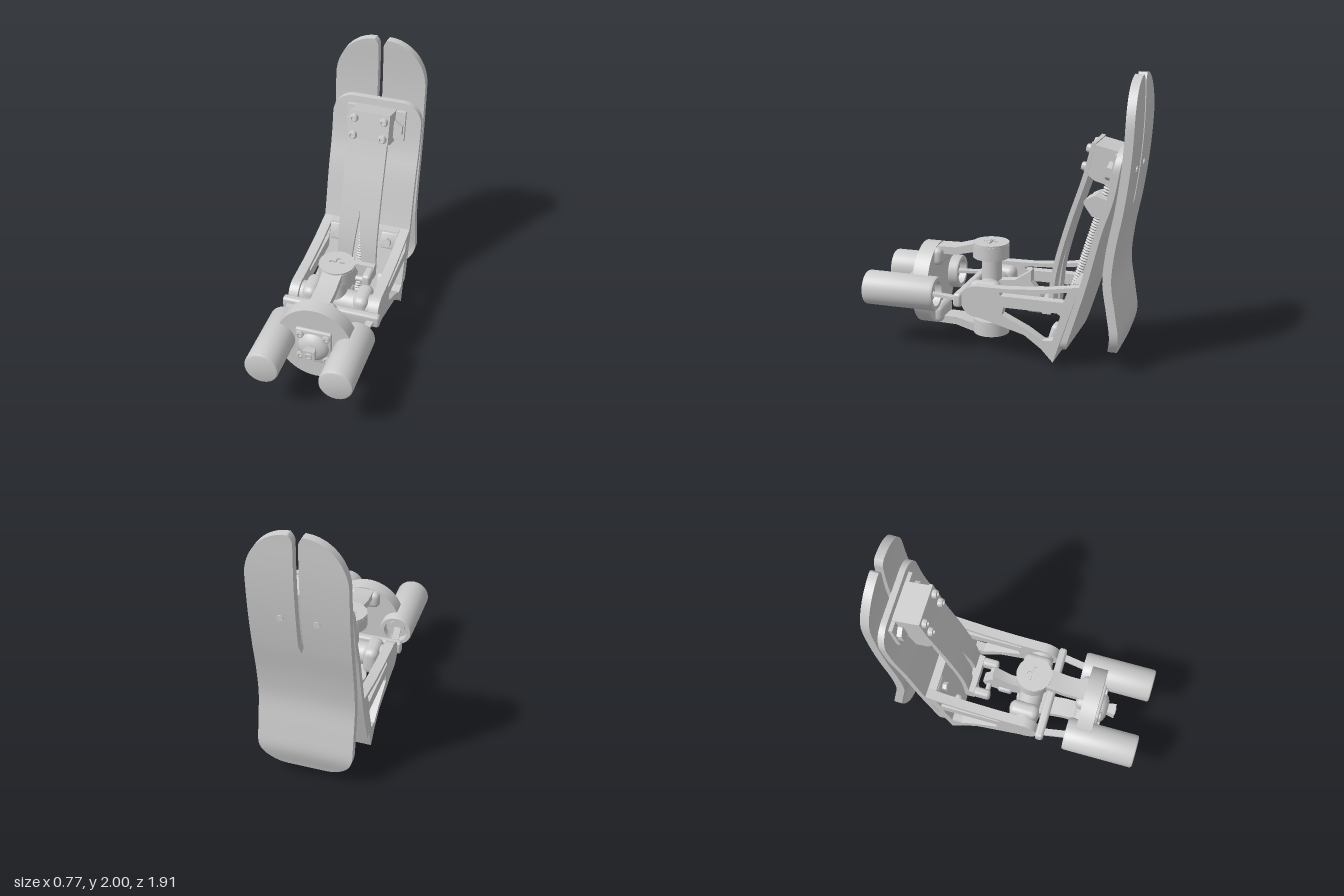
import * as THREE from 'three';
import { toCreasedNormals } from 'three/addons/utils/BufferGeometryUtils.js';
import { RoundedBoxGeometry } from 'three/addons/geometries/RoundedBoxGeometry.js';

const mat = new THREE.MeshStandardMaterial({ color: 0xcccccc, side: THREE.DoubleSide });
const vecs = (pts) => pts.map((p) => new THREE.Vector2(p[0], p[1]));

function add(parent, name, geo, x = 0, y = 0, z = 0, rx = 0, rz = 0) {
  const mesh = new THREE.Mesh(toCreasedNormals(geo, 0.6), mat);
  mesh.name = name;
  mesh.position.set(x, y, z);
  mesh.rotation.set(rx, 0, rz);
  parent.add(mesh);
  return mesh;
}
const cyl = (r, h, n = 32, r2 = r) => new THREE.CylinderGeometry(r, r2, h, n);
const box = (w, h, d) => new THREE.BoxGeometry(w, h, d);
const lathe = (pts, n = 32) => new THREE.LatheGeometry(vecs(pts), n);

// Side profile in (z, y), extruded across x from x0 to x1
function sideExtrude(shape, x0, x1) {
  const s = Array.isArray(shape) ? new THREE.Shape(vecs(shape)) : shape;
  const geo = new THREE.ExtrudeGeometry(s, { depth: x1 - x0, bevelEnabled: false, curveSegments: 20 });
  return geo.rotateY(-Math.PI / 2).translate(x1, 0, 0);
}

// Mirrored curved sheet: front face z follows a spline of [y, z] points
function sheet(parent, name, curve, thick, inner, outer, n = 56) {
  const zAt = new THREE.CubicInterpolant(curve.map((p) => p[0]), curve.map((p) => p[1]), 1);
  const y0 = curve[0][0], y1 = curve[curve.length - 1][0];
  for (const s of [1, -1]) {
    const pos = [], idx = [];
    const face = (a, b, c, d) => (s > 0 ? idx.push(a, b, c, a, c, d) : idx.push(a, c, b, a, d, c));
    for (let i = 0; i <= n; i++) {
      const y = y0 + (y1 - y0) * (1 - Math.cos((Math.PI * i) / n)) / 2;
      const z = zAt.evaluate(y)[0], a = s * inner(y), b = s * outer(y);
      pos.push(a, y, z, b, y, z, b, y, z - thick, a, y, z - thick);
      for (let k = 0; i < n && k < 4; k++) {
        const p = i * 4 + k, q = i * 4 + ((k + 1) % 4);
        face(p, q, q + 4, p + 4);
      }
    }
    face(3, 2, 1, 0);
    face(n * 4, n * 4 + 1, n * 4 + 2, n * 4 + 3);
    const geo = new THREE.BufferGeometry();
    geo.setAttribute('position', new THREE.Float32BufferAttribute(pos, 3));
    geo.setIndex(idx);
    add(parent, name, geo);
  }
}
const arc = (t) => Math.sqrt(Math.max(0, 1 - t * t));

export function createModel() {
  const g = new THREE.Group();
  g.name = 'prostheticFootAnkle';

  // Split foot blade and the stiffening plate in front of it
  sheet(g, 'footBlade',
    [[0.1, -0.785], [0.25, -0.82], [0.42, -0.8], [0.65, -0.767], [0.86, -0.785], [1.13, -0.835], [1.4, -0.872], [1.68, -0.892], [2, -0.892]],
    0.06,
    (y) => (y < 1.15 ? 0 : 0.018 + (y > 1.94 ? 0.03 * ((y - 1.94) / 0.06) ** 2 : 0)),
    (y) => (y > 1.67 ? 0.05 + 0.285 * arc((y - 1.67) / 0.33) : y < 0.3 ? 0.135 + 0.2 * arc((0.3 - y) / 0.2) : 0.335));
  sheet(g, 'carrierPlate',
    [[0.12, -0.465], [0.6, -0.612], [1, -0.715], [1.2, -0.78], [1.545, -0.842]], 0.045,
    () => 0,
    (y) => (y > 1.4 ? 0.185 + 0.15 * arc((y - 1.4) / 0.145) : y < 0.2 ? 0.255 + 0.08 * arc((0.2 - y) / 0.08) : 0.335));
  // Front leaf spring with a tapered slit at its foot
  sheet(g, 'leafSpring',
    [[0.33, -0.34], [0.6, -0.365], [0.95, -0.455], [1.3, -0.57], [1.52, -0.635]], 0.035,
    (y) => Math.max(0, (0.82 - y) * 0.1), () => 0.148, 40);

  // Ankle frame: two pierced wings joined by a sloping web
  const wing = new THREE.Shape(vecs([[0.116, 0.532], [-0.1, 0.535], [-0.35, 0.555], [-0.614, 0.6], [-0.434, 0.04], [-0.35, 0.13], [-0.23, 0.217], [0.1, 0.308]]));
  wing.absarc(0.116, 0.42, 0.112, -Math.PI / 2, Math.PI / 2, false);
  wing.holes.push(
    new THREE.Path(vecs([[-0.05, 0.505], [-0.3, 0.52], [-0.53, 0.555], [-0.5, 0.48], [-0.06, 0.48]])),
    new THREE.Path(vecs([[-0.08, 0.4], [-0.49, 0.4], [-0.43, 0.2], [-0.36, 0.19], [-0.25, 0.26], [-0.07, 0.345]])));
  add(g, 'frameWeb', sideExtrude([[-0.614, 0.6], [-0.55, 0.6], [-0.39, 0.08], [-0.434, 0.04]], -0.265, 0.265));
  for (const s of [1, -1]) {
    add(g, 'frameWing', sideExtrude(wing, s > 0 ? 0.265 : -0.335, s > 0 ? 0.335 : -0.265));
    add(g, 'frameBoltTab', new RoundedBoxGeometry(0.14, 0.14, 0.05, 3, 0.02), s * 0.2, 0.52, -0.545, -0.293);
    add(g, 'frameBolt', cyl(0.032, 0.04, 6), s * 0.19, 0.525, -0.505, Math.PI / 2 - 0.293);
    add(g, 'frameBoss', new RoundedBoxGeometry(0.12, 0.2, 0.07, 3, 0.03), s * 0.2, 0.18, -0.41, -0.293);
    add(g, 'bladeScrew', cyl(0.022, 0.01, 16), s * 0.12, 1.38, -0.934, Math.PI / 2);
  }

  // Sloping threaded rod with domed end nut and a sliding nut
  const rod = new THREE.Group();
  rod.name = 'threadedRod';
  rod.position.set(0, 0.06, -0.375);
  rod.rotation.x = -0.293;
  g.add(rod);
  const thread = [[0, 0.05]];
  for (let y = 0.05; y < 1.23; y += 0.02) thread.push([0.028, y], [0.037, y + 0.01]);
  thread.push([0, 1.24]);
  add(rod, 'rodThread', lathe(thread, 20));
  add(rod, 'domeNut', lathe([[0, -0.062], [0.025, -0.056], [0.045, -0.035], [0.054, 0], [0.054, 0.015], [0, 0.015]]));
  add(rod, 'hexCollar', cyl(0.065, 0.05, 6), 0, 0.035, 0);
  add(g, 'slidingNut', sideExtrude([[-0.58, 1.1], [-0.6, 1.15], [-0.65, 1.175], [-0.76, 1.14], [-0.735, 1.01], [-0.63, 1.03]], -0.1, 0.1));
  add(g, 'slidingNutPin', cyl(0.025, 0.14, 20), 0, 1.115, -0.59, 0, Math.PI / 2);

  // Upper clamp with front plate, bolts, back flange and hex nuts
  add(g, 'clampBlock', sideExtrude([[-0.655, 1.535], [-0.847, 1.49], [-0.805, 1.25], [-0.66, 1.29], [-0.605, 1.33]], -0.148, 0.148));
  add(g, 'clampFrontPlate', sideExtrude([[-0.635, 1.55], [-0.66, 1.545], [-0.605, 1.325], [-0.58, 1.33]], -0.152, 0.152));
  add(g, 'clampFlange', sideExtrude([[-0.805, 1.49], [-0.845, 1.49], [-0.805, 1.26], [-0.765, 1.27]], -0.222, 0.222));
  for (const s of [1, -1]) {
    for (const [y, z] of [[1.5, -0.62], [1.375, -0.588]])
      add(g, 'clampBolt', lathe([[0, 0.018], [0.012, 0.018], [0.016, 0.03], [0.026, 0.028], [0.032, 0.01], [0.032, -0.02]], 20), s * 0.11, y, z, Math.PI / 2 - 0.25);
    add(g, 'clampHexNut', cyl(0.065, 0.05, 6), s * 0.155, 1.365, -0.77, Math.PI / 2 - 0.2);
  }

  // Fork at the foot of the leaf spring and the link to the yoke
  add(g, 'forkBridge', box(0.3, 0.11, 0.06), 0, 0.37, -0.335);
  for (const s of [1, -1]) add(g, 'forkArm', new RoundedBoxGeometry(0.06, 0.1, 0.15, 3, 0.02), s * 0.12, 0.365, -0.265);
  add(g, 'forkPin', cyl(0.02, 0.22, 20), 0, 0.365, -0.22, 0, Math.PI / 2);
  add(g, 'yokeLink', sideExtrude([[0.1, 0.48], [-0.07, 0.5], [-0.19, 0.58], [-0.19, 0.5], [-0.27, 0.39], [-0.25, 0.33], [-0.13, 0.3], [0.1, 0.36]], -0.036, 0.036));
  add(g, 'linkPad', new RoundedBoxGeometry(0.1, 0.08, 0.11, 3, 0.02), 0, 0.325, -0.1);

  // Crossed pivots of the universal joint
  add(g, 'verticalPivot', cyl(0.072, 0.48), 0, 0.42, 0.11);
  add(g, 'crossPivot', cyl(0.085, 0.53), 0, 0.42, 0.11, 0, Math.PI / 2);
  for (const s of [1, -1])
    add(g, 'pivotBearing', new RoundedBoxGeometry(0.115, 0.21, 0.22, 4, 0.05), s * 0.19, 0.42, 0.095);
  add(g, 'crossBar', new RoundedBoxGeometry(0.72, 0.1, 0.06, 3, 0.02), 0, 0.42, 0.25);

  // Upper and lower clevis: round cap with engraved face, bent arm and lug
  const face = new THREE.Shape().absarc(0, 0, 0.128, 0, Math.PI * 2, false);
  face.holes.push(new THREE.Path(vecs([[0.012, 0.05], [0.012, 0.014], [0.055, 0.014], [0.055, -0.014], [0.012, -0.014], [0.012, -0.05],
    [-0.012, -0.05], [-0.012, -0.014], [-0.055, -0.014], [-0.055, 0.014], [-0.012, 0.014], [-0.012, 0.05]])));
  for (const s of [1, -1]) {
    const up = (y) => 0.42 + s * y;
    add(g, 'clevisCap', cyl(0.13, 0.095), 0, up(0.275), 0.115);
    add(g, 'clevisCapFace', new THREE.ExtrudeGeometry(face, { depth: 0.015, bevelEnabled: false, curveSegments: 24 }), 0, up(0.322), 0.115, -s * Math.PI / 2);
    const arm = [[0.12, 0.335], [0.2, 0.333], [0.25, 0.322], [0.36, 0.29], [0.56, 0.285], [0.56, 0.235], [0.36, 0.235], [0.25, 0.262], [0.2, 0.268], [0.12, 0.268]];
    add(g, 'clevisArm', sideExtrude(arm.map(([z, y]) => [z, up(y)]), -0.07, 0.07));
    add(g, 'clevisLug', new RoundedBoxGeometry(0.24, 0.13, 0.12, 3, 0.04), 0, up(0.215), 0.51);
  }

  // Front disc, square adapter plate, dome and flared stud
  const disc = add(g, 'frontDisc', cyl(0.297, 0.115, 64), 0, 0.42, 0.558, Math.PI / 2);
  disc.scale.x = 0.93;
  add(g, 'adapterPlate', new RoundedBoxGeometry(0.26, 0.28, 0.03, 4, 0.014), 0, 0.415, 0.622);
  add(g, 'adapterDome', lathe([[0.115, 0], [0.11, 0.02], [0.09, 0.04], [0.06, 0.053], [0, 0.06]]), 0, 0.415, 0.628, Math.PI / 2);
  add(g, 'adapterStud', cyl(0.062, 0.07, 4, 0.045).rotateY(Math.PI / 4), 0, 0.415, 0.705, Math.PI / 2);
  add(g, 'studSocket', new THREE.TorusGeometry(0.022, 0.006, 8, 20), 0, 0.415, 0.74);
  for (const x of [-0.095, 0.095]) for (const y of [0.32, 0.51])
    add(g, 'adapterBolt', lathe([[0, 0.005], [0.014, 0.005], [0.014, 0.02], [0.028, 0.015], [0.028, -0.01]], 20), x, y, 0.635, Math.PI / 2);

  // Side cylinders, recessed at the rear, with their straps
  const can = [[0, 0.53], [0.105, 0.53], [0.117, 0.525], [0.122, 0.512], [0.122, 0.015], [0.115, 0], [0.088, 0], [0.088, 0.06], [0.06, 0.06], [0.06, 0.04], [0, 0.04]];
  for (const s of [1, -1]) {
    add(g, 'sideCylinder', lathe(can.reverse().slice(), 40), s * 0.263, 0.42, 0.43, Math.PI / 2);
    can.reverse();
    const strap = add(g, 'cylinderStrap', box(0.05, 0.02, 0.24), s * 0.285, 0.42, 0.37);
    strap.rotation.y = -s * 0.16;
  }
  return g;
}
